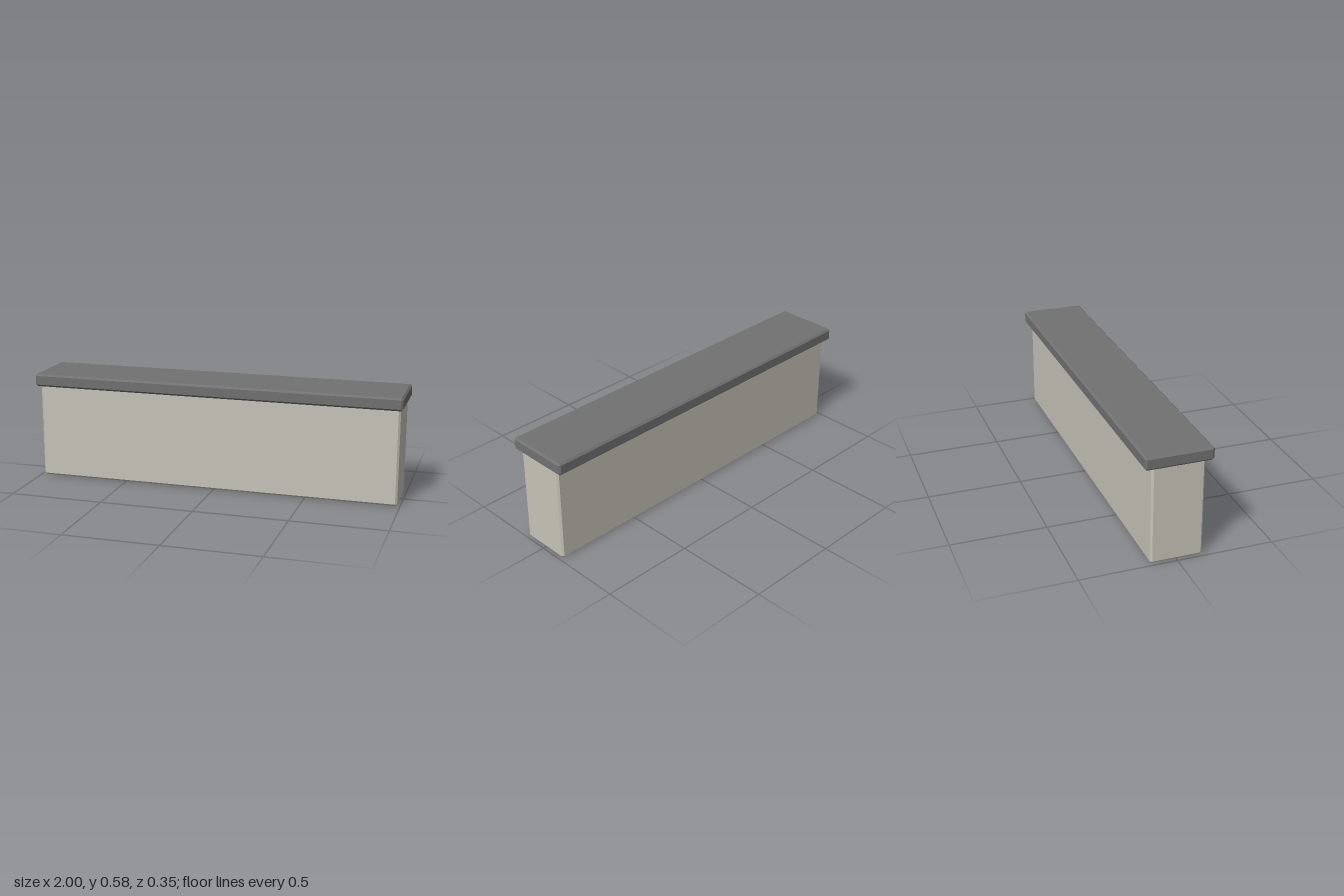
import * as THREE from 'three';
import { ConvexGeometry } from 'three/addons/geometries/ConvexGeometry.js';

// Box with every edge cut at 45 degrees, standing between y0 and y1
function chamferedBox(width, y0, y1, depth, bevel) {
  const half = new THREE.Vector3(width / 2, (y1 - y0) / 2, depth / 2);
  const points = [];
  for (const sx of [-1, 1]) for (const sy of [-1, 1]) for (const sz of [-1, 1]) {
    for (const axis of ['x', 'y', 'z']) {
      // each corner has one point on each of its three faces
      const p = half.clone().subScalar(bevel);
      p[axis] = half[axis];
      points.push(p.multiply(new THREE.Vector3(sx, sy, sz)));
    }
  }
  return new ConvexGeometry(points).translate(0, (y0 + y1) / 2, 0);
}

export function createModel() {
  const stone = new THREE.MeshStandardMaterial({ color: 0xc7c3b8 });
  stone.name = 'pale stone';
  const slate = new THREE.MeshStandardMaterial({ color: 0x717171 });
  slate.name = 'dark slate';

  const model = new THREE.Group();
  model.name = 'lowWall';

  // Wall body, its top edge tucked into the coping
  const body = new THREE.Mesh(chamferedBox(1.97, 0, 0.52, 0.27, 0.01), stone);
  body.name = 'wallBody';

  // Overhanging coping slab
  const coping = new THREE.Mesh(chamferedBox(2, 0.512, 0.58, 0.346, 0.01), slate);
  coping.name = 'coping';

  model.add(body, coping);
  return model;
}
